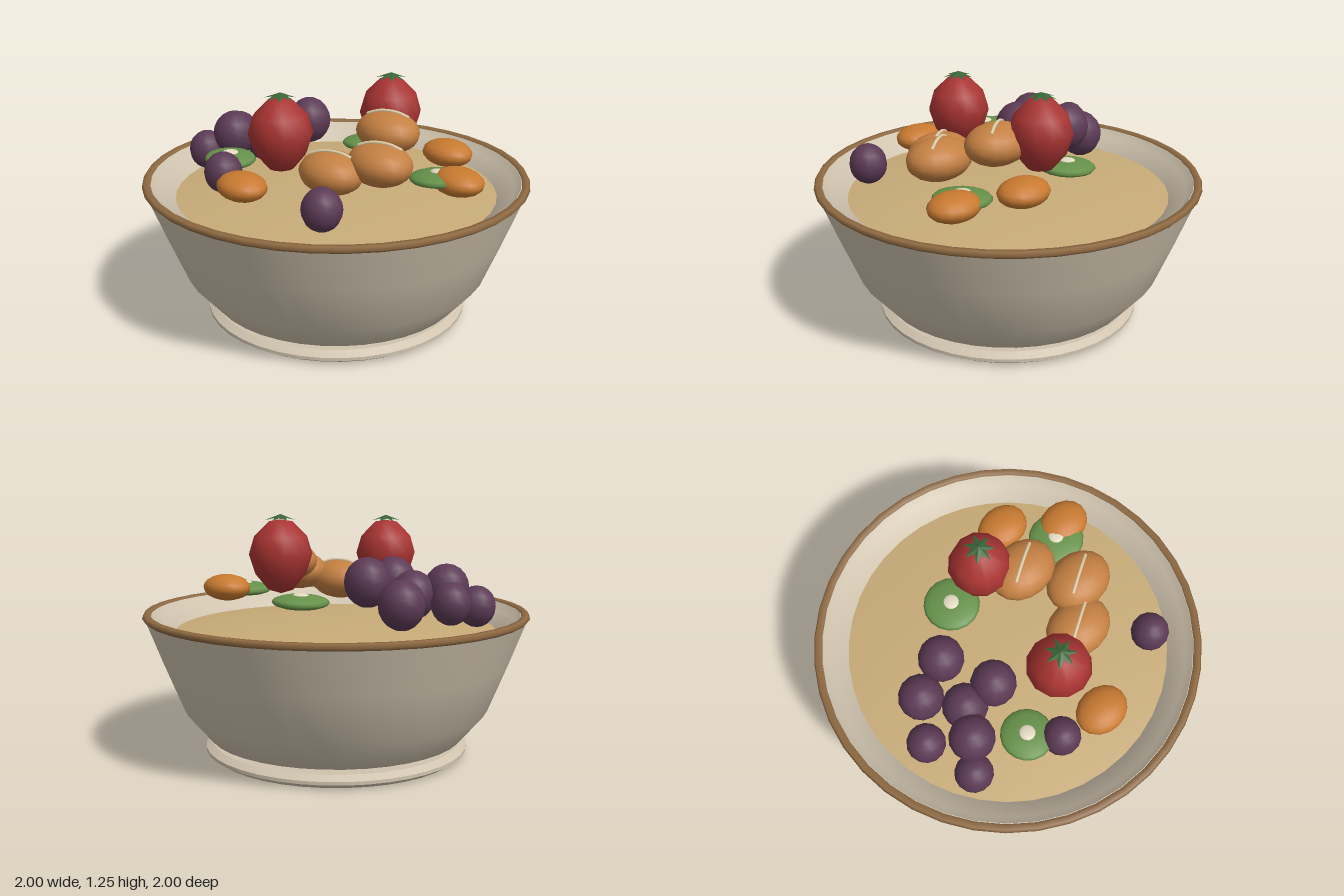
import * as THREE from 'three';
import { toCreasedNormals } from 'three/addons/utils/BufferGeometryUtils.js';

const mat = (color, extra = {}) => new THREE.MeshStandardMaterial({ color, ...extra });
const mats = {
  bowl: mat(0xcfc3ae, { side: THREE.DoubleSide }),
  rim: mat(0x8f6a42),
  porridge: mat(0xc8ab78, { side: THREE.DoubleSide }),
  grape: mat(0x5c3a55),
  berry: mat(0xa83432),
  leaf: mat(0x3a6438, { side: THREE.DoubleSide }),
  orange: mat(0xc87a30),
  almond: mat(0xc48042),
  seam: mat(0xe0cfa8),
  kiwi: mat(0x66914a),
  kiwiCore: mat(0xe2dac0),
};

function add(parent, name, geometry, material, pos = [0, 0, 0]) {
  const mesh = new THREE.Mesh(geometry, material);
  mesh.name = name;
  mesh.position.set(...pos);
  parent.add(mesh);
  return mesh;
}

const lathe = (points, segments) =>
  new THREE.LatheGeometry(points.map(([r, y]) => new THREE.Vector2(r, y)), segments);

const ellipsoid = (rx, ry, rz, w = 14, h = 10) =>
  new THREE.SphereGeometry(1, w, h).scale(rx, ry, rz);

// Star-shaped leaf cap: a shallow pyramid over a seven-pointed outline
function starCap(points, outer, inner, height) {
  const pos = [];
  const corner = (i) => {
    const a = (i / (points * 2)) * Math.PI * 2;
    const r = i % 2 ? inner : outer;
    return [Math.sin(a) * r, i % 2 ? height * 0.4 : 0, Math.cos(a) * r];
  };
  for (let i = 0; i < points * 2; i++) pos.push(0, height, 0, ...corner(i), ...corner(i + 1));
  const g = new THREE.BufferGeometry();
  g.setAttribute('position', new THREE.Float32BufferAttribute(pos, 3));
  g.computeVertexNormals();
  return g;
}

function strawberry(x, y, z) {
  const g = new THREE.Group();
  g.name = 'strawberry';
  g.position.set(x, y, z);
  const body = lathe([[0, -0.2], [0.065, -0.18], [0.13, -0.1], [0.162, 0],
    [0.135, 0.09], [0.06, 0.165], [0, 0.175]], 12);
  add(g, 'strawberryBody', body, mats.berry);
  add(g, 'strawberryLeaves', starCap(7, 0.08, 0.038, 0.03), mats.leaf, [0, 0.172, 0]);
  return g;
}

function kiwiSlice(x, y, z, r, tilt) {
  const g = new THREE.Group();
  g.name = 'kiwiSlice';
  g.position.set(x, y, z);
  g.rotation.z = tilt;
  add(g, 'kiwiFlesh', ellipsoid(r, 0.035, r, 18, 8), mats.kiwi);
  add(g, 'kiwiCore', ellipsoid(0.042, 0.012, 0.042, 12, 6), mats.kiwiCore, [0, 0.031, 0]);
  return g;
}

// Rounded nut with a pale seam following its top
function almond(x, y, z) {
  const [rx, ry, rz] = [0.18, 0.105, 0.145];
  const g = new THREE.Group();
  g.name = 'almond';
  g.position.set(x, y, z);
  add(g, 'almondBody', ellipsoid(rx, ry, rz, 16, 12), mats.almond);
  const path = [-1, -0.5, 0, 0.5, 1].map((t) => {
    const px = t * 0.098, pz = -t * 0.052;
    const py = ry * Math.sqrt(1 - (px / rx) ** 2 - (pz / rz) ** 2);
    return new THREE.Vector3(px, py + 0.002, pz);
  });
  const curve = new THREE.CatmullRomCurve3(path);
  add(g, 'almondSeam', new THREE.TubeGeometry(curve, 10, 0.009, 6), mats.seam);
  return g;
}

export function createModel() {
  const model = new THREE.Group();
  model.name = 'fruitBowl';

  // Foot
  const foot = lathe([[0, 0], [0.655, 0], [0.692, 0.025], [0.692, 0.042], [0.655, 0.065], [0, 0.065]], 40);
  add(model, 'foot', toCreasedNormals(foot, 0.5), mats.bowl);

  // Bowl wall, outside and inside
  const wall = lathe([[0, 0.066], [0.59, 0.068], [0.67, 0.095], [0.8, 0.25], [0.9, 0.5], [0.985, 0.725],
    [0.955, 0.745], [0.92, 0.71], [0.83, 0.65], [0.78, 0.55]], 40);
  add(model, 'bowl', toCreasedNormals(wall, 0.7), mats.bowl);

  // Rim band
  const rim = lathe([[0.955, 0.735], [0.985, 0.722], [1, 0.737], [0.99, 0.755], [0.962, 0.755], [0.955, 0.735]], 40);
  add(model, 'rim', rim, mats.rim);

  // Gently mounded filling
  const fill = lathe([[0.835, 0.655], [0.6, 0.685], [0.3, 0.7], [0, 0.705]], 40);
  add(model, 'porridge', fill, mats.porridge);

  // Grapes: x, y, z, radius
  [
    [-0.36, 0.935, -0.1, 0.115], [-0.55, 0.84, -0.05, 0.115], [-0.69, 0.845, 0.14, 0.097],
    [-0.43, 0.86, 0.14, 0.115], [-0.26, 0.915, 0.165, 0.115], [-0.52, 0.89, 0.285, 0.115],
    [-0.62, 0.8, 0.4, 0.097], [-0.19, 0.82, 0.57, 0.097], [0.52, 0.82, 0.5, 0.097],
  ].forEach(([x, y, z, r]) =>
    add(model, 'grape', ellipsoid(r, r * 1.08, r), mats.grape, [x, y, z]));

  // Strawberries
  model.add(strawberry(0, 1.03, 0.35), strawberry(0.09, 1.052, -0.29));

  // Kiwi slices
  model.add(
    kiwiSlice(-0.31, 0.838, 0.45, 0.132, -0.06),
    kiwiSlice(-0.1, 0.83, -0.31, 0.145, 0.04),
    kiwiSlice(0.55, 0.825, -0.2, 0.145, 0.05),
  );

  // Almonds
  model.add(almond(0.24, 1, -0.14), almond(0.425, 0.92, 0.075), almond(0.26, 0.87, 0.24));

  // Orange pieces
  [[0.38, 0.865, -0.43], [0.645, 0.822, -0.24], [0.045, 0.822, 0.615]].forEach((p) =>
    add(model, 'orangePiece', ellipsoid(0.141, 0.068, 0.115, 16, 10), mats.orange, p));

  return model;
}
